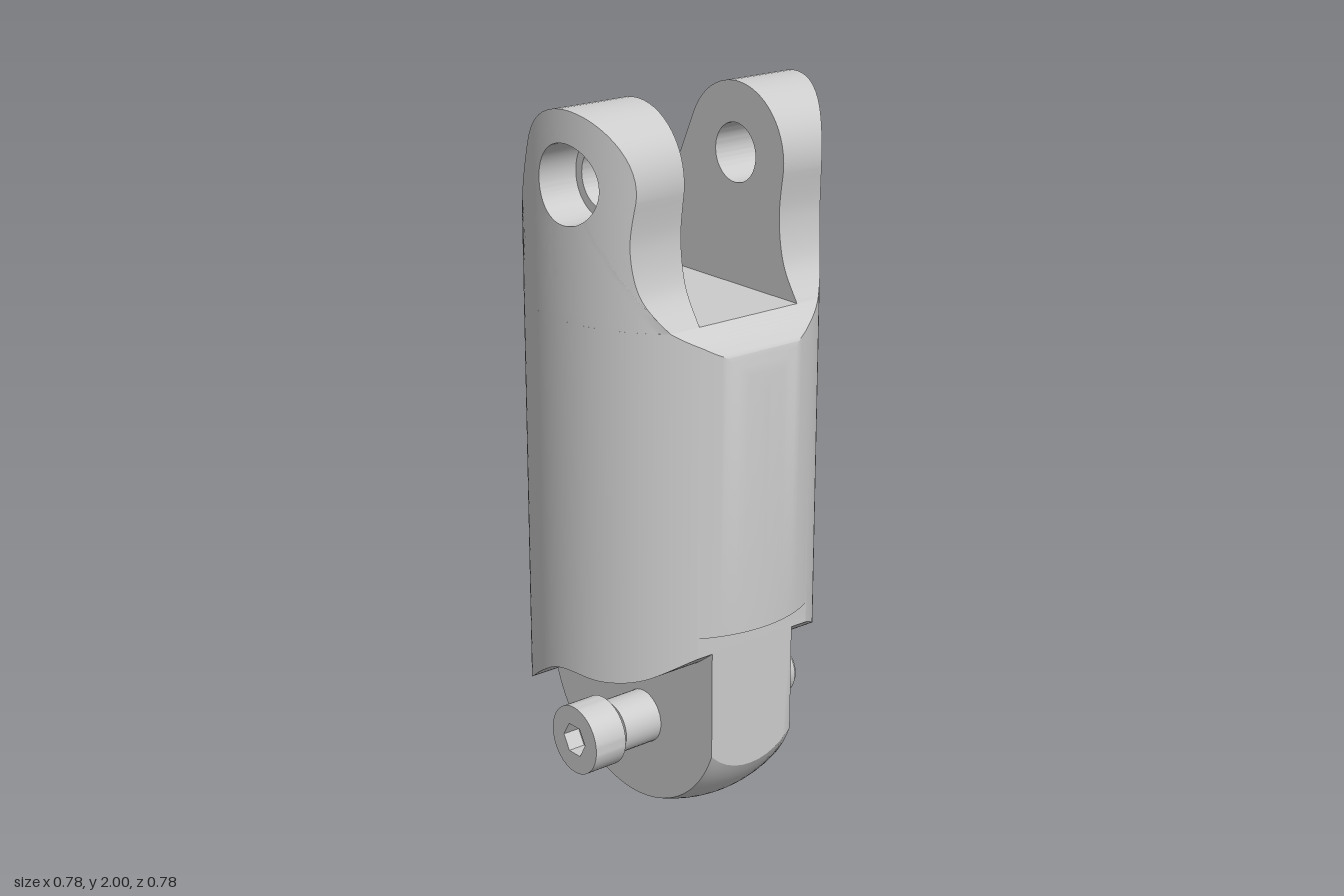
import * as THREE from 'three';
import { toCreasedNormals } from 'three/addons/utils/BufferGeometryUtils.js';

const R = 0.39;                      // radius of the round body
const FLOOR = 1.455;                 // floor of the top slot
const PIN = new THREE.Vector2(0.05, 1.81);
const V2 = (x, y) => new THREE.Vector2(x, y);
const V3 = (x, y, z) => new THREE.Vector3(x, y, z);
const depthAt = (x) => Math.sqrt(Math.max(0, R * R - x * x));
const material = new THREE.MeshStandardMaterial({ color: 0xcccccc });

function makeMesh(name, geometry) {
  const mesh = new THREE.Mesh(toCreasedNormals(geometry, 0.5), material);
  mesh.name = name;
  return mesh;
}

// Skin a row of closed sections, skipping collapsed triangles
function loft(sections, flip = false) {
  const pos = [];
  const tri = (a, b, c) => {
    const area = b.clone().sub(a).cross(c.clone().sub(a)).length();
    if (area < 1e-9) return;
    for (const p of flip ? [a, c, b] : [a, b, c]) pos.push(p.x, p.y, p.z);
  };
  for (let i = 0; i < sections.length - 1; i++) {
    const s = sections[i], t = sections[i + 1];
    for (let j = 0; j < s.length; j++) {
      const k = (j + 1) % s.length;
      tri(s[j], t[j], t[k]);
      tri(s[j], t[k], s[k]);
    }
  }
  const geo = new THREE.BufferGeometry();
  geo.setAttribute('position', new THREE.Float32BufferAttribute(pos, 3));
  return geo;
}

// Height of a left-to-right polyline at x
function heightAt(pts, x) {
  if (x <= pts[0].x) return pts[0].y;
  for (let i = 1; i < pts.length; i++) {
    const a = pts[i - 1], b = pts[i];
    if (x <= b.x) return a.y + (b.y - a.y) * (x - a.x) / (b.x - a.x);
  }
  return pts[pts.length - 1].y;
}

// Round body: columns across x, wavy lower edge, sloped shoulders
function bodyGeometry() {
  const top = [V2(-0.39, 1.29), V2(-0.376, 1.35), V2(-0.326, FLOOR), V2(0.3, FLOOR),
    V2(0.345, 1.415), V2(0.37, 1.385), V2(0.384, 1.34), V2(0.39, 1.29)];
  const wave = new THREE.SplineCurve([V2(-0.39, 0.47), V2(-0.365, 0.42), V2(-0.352, 0.375),
    V2(-0.31, 0.345), V2(-0.25, 0.338), V2(-0.19, 0.365), V2(-0.1, 0.425), V2(-0.02, 0.47),
    V2(0.05, 0.482), V2(0.15, 0.478), V2(0.25, 0.5), V2(0.34, 0.562)]).getPoints(120);
  const step = 0.34;
  const xs = [-0.326, 0.3, step];
  for (let i = 0; i <= 80; i++) xs.push(-R * Math.cos(Math.PI * i / 80));
  xs.sort((a, b) => a - b);
  const column = (x, low) => {
    const z = depthAt(x), high = heightAt(top, x);
    return [V3(x, low, z), V3(x, high, z), V3(x, high, -z), V3(x, low, -z)];
  };
  const sections = [];
  for (const x of xs) {
    if (x <= step) sections.push(column(x, heightAt(wave, x)));
    if (x >= step) sections.push(column(x, 0.62));
  }
  return loft(sections);
}

// Outline of a fork arm, clockwise
function armOutline() {
  const r = 0.19, a0 = Math.PI - 0.439, a1 = -0.09;
  const left = V2(PIN.x + r * Math.cos(a0), PIN.y + r * Math.sin(a0));
  const right = V2(PIN.x + r * Math.cos(a1), PIN.y + r * Math.sin(a1));
  const base = [V2(0.3, FLOOR), V2(-0.326, FLOOR)];
  const parts = [
    new THREE.LineCurve(base[1], left),
    new THREE.EllipseCurve(PIN.x, PIN.y, r, r, a0, a1, true),
    new THREE.SplineCurve([right, V2(0.226, 1.67), V2(0.245, 1.55), base[0]]),
    new THREE.LineCurve(base[0], base[1]),
  ];
  return parts.flatMap((c) => c.getPoints(24).slice(0, -1));
}

// Fork arm around its pin hole: flat inside, round outside, optional counterbore
function armGeometry(side, inner, bore, counterbore) {
  const stepZ = 0.27, rings = 10;
  const sections = armOutline().map((p) => {
    const dir = p.clone().sub(PIN).normalize();
    const at = (q, z) => V3(q.x, q.y, side * z);
    const hole = dir.clone().multiplyScalar(bore).add(PIN);
    const mouth = dir.clone().multiplyScalar(counterbore).add(PIN);
    const section = [at(hole, inner), at(p, inner)];
    for (let k = 0; k <= rings; k++) {
      const q = p.clone().lerp(mouth, k / rings);
      section.push(at(q, depthAt(q.x)));
    }
    if (counterbore > bore) section.push(at(mouth, stepZ), at(hole, stepZ));
    return section;
  });
  sections.push(sections[0]);
  return loft(sections, side > 0);
}

// Lower tongue: slab of a round-ended bar, flat on one side
function tongueGeometry() {
  const half = 0.14, flat = 0.34, high = 0.615, slices = 10;
  const slice = (z) => {
    const r = Math.sqrt(R * R - z * z);
    const a0 = -Math.acos(flat / r), pts = [];
    for (let i = 0; i <= 40; i++) {
      const a = a0 + (-Math.PI - a0) * i / 40;
      pts.push(V3(r * Math.cos(a), R + r * Math.sin(a), z));
    }
    pts.push(V3(-r, high, z), V3(flat, high, z));
    return pts;
  };
  const sections = [];
  for (let i = 0; i <= slices; i++) sections.push(slice(-half + 2 * half * i / slices));
  const cap = (s) => s.map((p) => V3(0, 0.4, p.z));
  return loft([cap(sections[0]), ...sections, cap(sections[slices])]);
}

// Cross bolt with a hexagon socket head
function createBolt() {
  const bolt = new THREE.Group();
  bolt.name = 'crossBolt';
  const profile = [V2(0, -0.365), V2(0.065, -0.365), V2(0.075, -0.353), V2(0.075, 0.26),
    V2(0.05, 0.26), V2(0.05, 0.33), V2(0, 0.33)];
  const shank = new THREE.LatheGeometry(profile, 32).rotateX(Math.PI / 2);
  const outline = new THREE.Shape().absarc(0, 0, 0.097, 0, Math.PI * 2);
  const hex = [];
  for (let i = 0; i < 6; i++) {
    const a = i * Math.PI / 3;
    hex.push(V2(0.047 * Math.cos(a), 0.047 * Math.sin(a)));
  }
  outline.holes.push(new THREE.Path(hex));
  const head = new THREE.ExtrudeGeometry(outline, { depth: 0.1, bevelEnabled: false, curveSegments: 32 });
  head.translate(0, 0, 0.28);
  bolt.add(makeMesh('boltShank', shank), makeMesh('boltHead', head));
  bolt.position.set(0.05, 0.275, 0);
  return bolt;
}

export function createModel() {
  const model = new THREE.Group();
  model.name = 'clevisLink';
  model.add(
    makeMesh('body', bodyGeometry()),
    makeMesh('frontForkArm', armGeometry(1, 0.155, 0.08, 0.105)),
    makeMesh('backForkArm', armGeometry(-1, 0.175, 0.08, 0.08)),
    makeMesh('tongue', tongueGeometry()),
    createBolt(),
  );
  return model;
}
